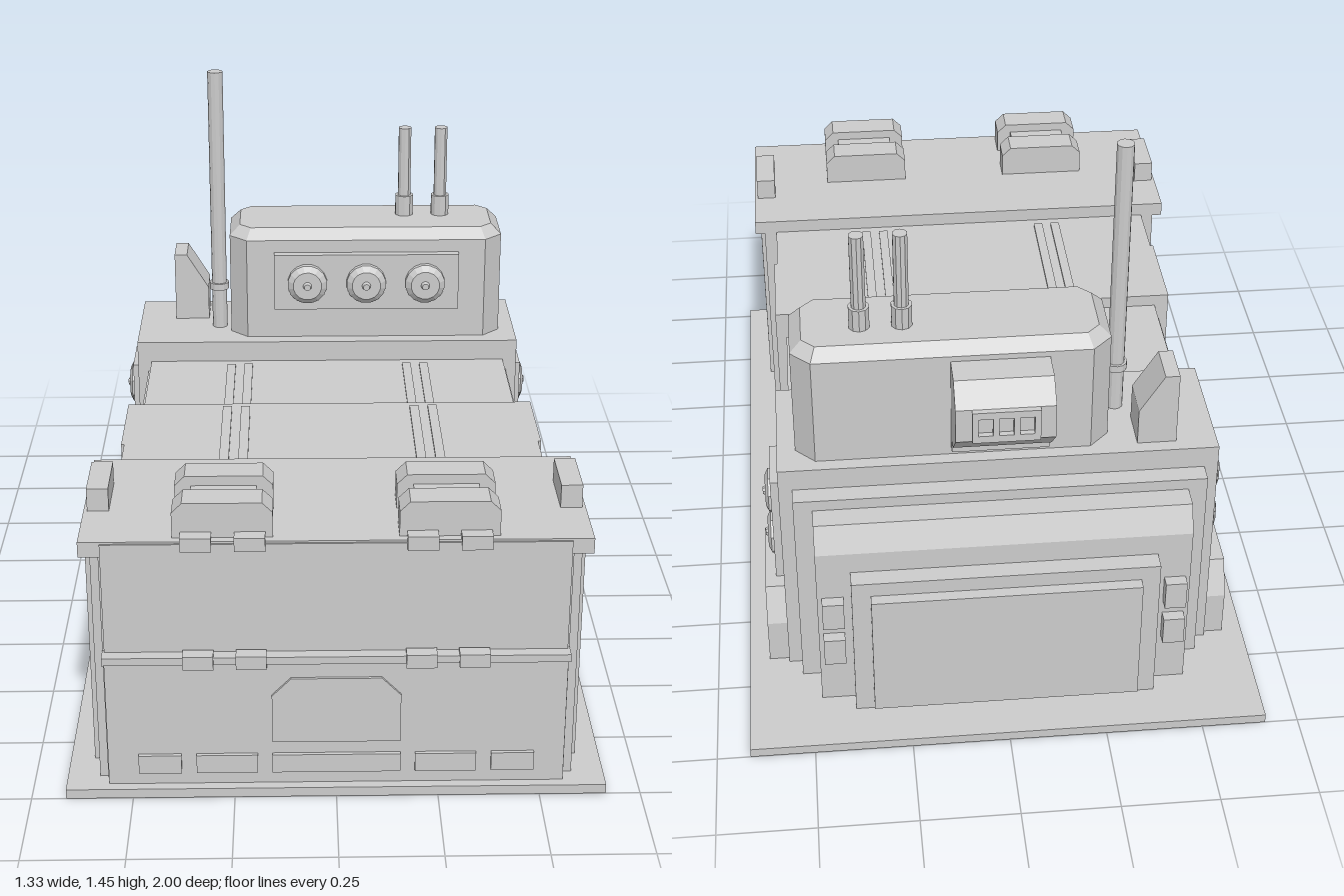
import * as THREE from 'three';

const mat = new THREE.MeshStandardMaterial({ color: 0xcccccc, flatShading: true });

export function createModel() {
  const root = new THREE.Group();
  const add = (name, geo, parent = root) => {
    const m = new THREE.Mesh(geo, mat);
    m.name = name;
    parent.add(m);
    return m;
  };
  // Box given by its limits on each axis
  const box = (name, x0, x1, y0, y1, z0, z1) =>
    add(name, new THREE.BoxGeometry(x1 - x0, y1 - y0, z1 - z0)
      .translate((x0 + x1) / 2, (y0 + y1) / 2, (z0 + z1) / 2));
  const outline = pts => new THREE.Shape(pts.map(p => new THREE.Vector2(...p)));
  // Outline in x,y extruded from z0 to z1
  const alongZ = (name, pts, z0, z1) => add(name,
    new THREE.ExtrudeGeometry(outline(pts), { depth: z1 - z0, bevelEnabled: false }).translate(0, 0, z0));
  // Outline in z,y extruded from x0 to x1
  const alongX = (name, pts, x0, x1) => add(name,
    new THREE.ExtrudeGeometry(outline(pts.map(([z, y]) => [-z, y])), { depth: x1 - x0, bevelEnabled: false })
      .rotateY(Math.PI / 2).translate(x0, 0, 0));
  const rod = (name, x, z, y0, y1, r, n = 10) =>
    add(name, new THREE.CylinderGeometry(r, r, y1 - y0, n).translate(x, (y0 + y1) / 2, z));
  // Stepped round fitting, turned to face along +z
  const lamp = (name, r, depth, n) => {
    const g = new THREE.Group();
    g.name = name;
    const prof = [[r, 0], [r, 0.4], [r * 0.72, 0.72], [r * 0.22, 0.72], [r * 0.16, 1], [0, 1]]
      .map(([a, b]) => new THREE.Vector2(a, b * depth));
    add(name + 'Body', new THREE.LatheGeometry(prof, n).rotateY(Math.PI / n).rotateX(Math.PI / 2), g);
    root.add(g);
    return g;
  };

  // Ground plate
  box('basePlate', -0.665, 0.665, 0, 0.025, -1, 1);

  // Main hull, front to back
  box('frontHull', -0.565, 0.565, 0.025, 0.645, 0.49, 0.945);
  box('frontRoof', -0.612, 0.612, 0.64, 0.68, 0.49, 0.95);
  box('middleHull', -0.55, 0.55, 0.025, 0.643, 0.05, 0.49);
  box('rearMiddleHull', -0.52, 0.52, 0.025, 0.61, -0.35, 0.05);
  box('rearHull', -0.56, 0.56, 0.025, 0.67, -0.69, -0.345);
  box('rearStep', -0.525, 0.525, 0.025, 0.61, -0.74, -0.69);
  alongX('rearSlope', [[-0.73, 0.025], [-0.73, 0.58], [-0.8, 0.58], [-0.832, 0.51], [-0.832, 0.025]], -0.477, 0.477);
  box('rearDoorFrame', -0.39, 0.39, 0.025, 0.45, -0.88, -0.83);
  box('rearDoor', -0.342, 0.342, 0.05, 0.41, -0.91, -0.88);

  for (const s of [-1, 1]) {
    const side = (name, x0, x1, y0, y1, z0, z1) =>
      box(name, Math.min(s * x0, s * x1), Math.max(s * x0, s * x1), y0, y1, z0, z1);

    // Stepped side cladding
    side('frontPost', 0.55, 0.585, 0.025, 0.64, 0.86, 0.94);
    side('frontSidePanel', 0.55, 0.6, 0.025, 0.645, 0.64, 0.86);
    side('frontSideRib', 0.55, 0.605, 0.025, 0.645, 0.785, 0.86);
    side('frontRearPanel', 0.55, 0.585, 0.025, 0.645, 0.49, 0.64);
    side('middleSidePanel', 0.54, 0.558, 0.025, 0.643, 0.05, 0.315);
    for (let i = 0; i < 4; i++)
      side('sideSlat', 0.515, 0.53, 0.04 + i * 0.14, 0.16 + i * 0.14, -0.345, 0.03);

    // Roof strips
    for (const x of [0.22, 0.27]) {
      side('middleRoofStrip', x, x + 0.025, 0.64, 0.649, 0.08, 0.46);
      side('rearRoofStrip', x, x + 0.025, 0.605, 0.615, -0.31, 0.05);
    }

    // Side lamp panel and buttress
    side('sideLampPanel', 0.55, 0.583, 0.24, 0.56, -0.595, -0.44);
    for (const y of [0.335, 0.475]) {
      const l = lamp('sideLamp', 0.06, 0.025, 8);
      l.position.set(s * 0.58, y, -0.517);
      l.rotation.y = s * Math.PI / 2;
    }
    alongX('sideButtress', [[-0.35, 0.025], [-0.35, 0.15], [-0.395, 0.245], [-0.635, 0.245], [-0.675, 0.15], [-0.675, 0.025]],
      s > 0 ? 0.55 : -0.612, s > 0 ? 0.612 : -0.55);

    // Rear hinges
    for (const y of [0.17, 0.29]) side('rearHinge', 0.41, 0.465, y, y + 0.08, -0.862, -0.825);

    // Roof fittings
    side('cornerBlock', 0.55, 0.603, 0.67, 0.74, 0.63, 0.785);
    const c = s * 0.27;
    const clamp = [[-0.12, 0.67], [0.12, 0.67], [0.12, 0.745], [0.095, 0.77], [-0.095, 0.77], [-0.12, 0.745]]
      .map(([x, y]) => [x + c, y]);
    alongZ('roofClamp', clamp, 0.707, 0.782);
    alongZ('roofClamp', clamp, 0.855, 0.93);
    box('clampBridge', c - 0.08, c + 0.08, 0.67, 0.745, 0.75, 0.88);

    // Front door hinges and lower blocks
    for (const x of [0.205, 0.333]) for (const [y, z] of [[0.677, 0.965], [0.375, 0.995]])
      side('doorHinge', x - 0.037, x + 0.037, y - 0.018, y + 0.018, z - 0.035, z);
    side('outerDoorBlock', 0.38, 0.485, 0.06, 0.11, 0.97, 0.985);
    side('innerDoorBlock', 0.193, 0.343, 0.06, 0.11, 0.97, 0.985);
  }

  // Front doors
  box('upperDoor', -0.56, 0.56, 0.38, 0.675, 0.94, 0.955);
  box('lowerDoor', -0.56, 0.56, 0.025, 0.37, 0.94, 0.975);
  box('doorSeam', -0.565, 0.565, 0.365, 0.385, 0.94, 0.985);
  box('centreDoorBlock', -0.157, 0.157, 0.06, 0.11, 0.97, 0.985);
  alongZ('doorPlate', [[-0.157, 0.145], [0.157, 0.145], [0.157, 0.275], [0.11, 0.323], [-0.11, 0.323], [-0.157, 0.275]], 0.97, 0.982);

  // Cabin with clipped corners and bevelled roof
  const [x0, x1, z0, z1, k] = [-0.285, 0.513, -0.655, -0.388, 0.05];
  const plan = outline([[x0 + k, -z1], [x1 - k, -z1], [x1, -z1 + k], [x1, -z0 - k],
    [x1 - k, -z0], [x0 + k, -z0], [x0, -z0 - k], [x0, -z1 + k]]);
  add('cabin', new THREE.ExtrudeGeometry(plan, {
    depth: 0.37, bevelEnabled: true, bevelSegments: 1, bevelThickness: 0.03, bevelSize: 0.03, bevelOffset: -0.03,
  }).rotateX(-Math.PI / 2).translate(0, 0.6, 0));
  box('cabinLampPanel', -0.155, 0.385, 0.765, 0.933, -0.4, -0.363);
  for (const x of [-0.058, 0.114, 0.286])
    lamp('cabinLamp', 0.058, 0.045, 16).position.set(x, 0.848, -0.364);

  // Housing on the back of the cabin
  alongX('rearHousing', [[-0.64, 0.69], [-0.64, 0.955], [-0.735, 0.955], [-0.79, 0.905], [-0.79, 0.81],
    [-0.712, 0.733], [-0.675, 0.733], [-0.675, 0.69]], -0.127, 0.12);
  box('housingGrilleTop', -0.088, 0.08, 0.885, 0.905, -0.805, -0.78);
  box('housingGrilleBottom', -0.088, 0.08, 0.815, 0.835, -0.805, -0.78);
  for (const x of [-0.088, -0.037, 0.014, 0.065])
    box('housingGrilleBar', x, x + 0.015, 0.835, 0.885, -0.805, -0.78);

  // Tall mast and its wedge-shaped bracket
  rod('mast', -0.32, -0.485, 0.66, 1.45, 0.022, 12);
  rod('mastCollar', -0.32, -0.485, 0.79, 0.81, 0.029, 12);
  alongZ('mastBracket', [[-0.455, 0.66], [-0.355, 0.66], [-0.355, 0.77], [-0.418, 0.873], [-0.455, 0.873]], -0.655, -0.543);

  // Twin short aerials
  for (const x of [0.232, 0.338]) {
    rod('aerialBase', x, -0.545, 0.99, 1.06, 0.027);
    rod('aerial', x, -0.545, 1.06, 1.265, 0.019);
  }
  return root;
}
